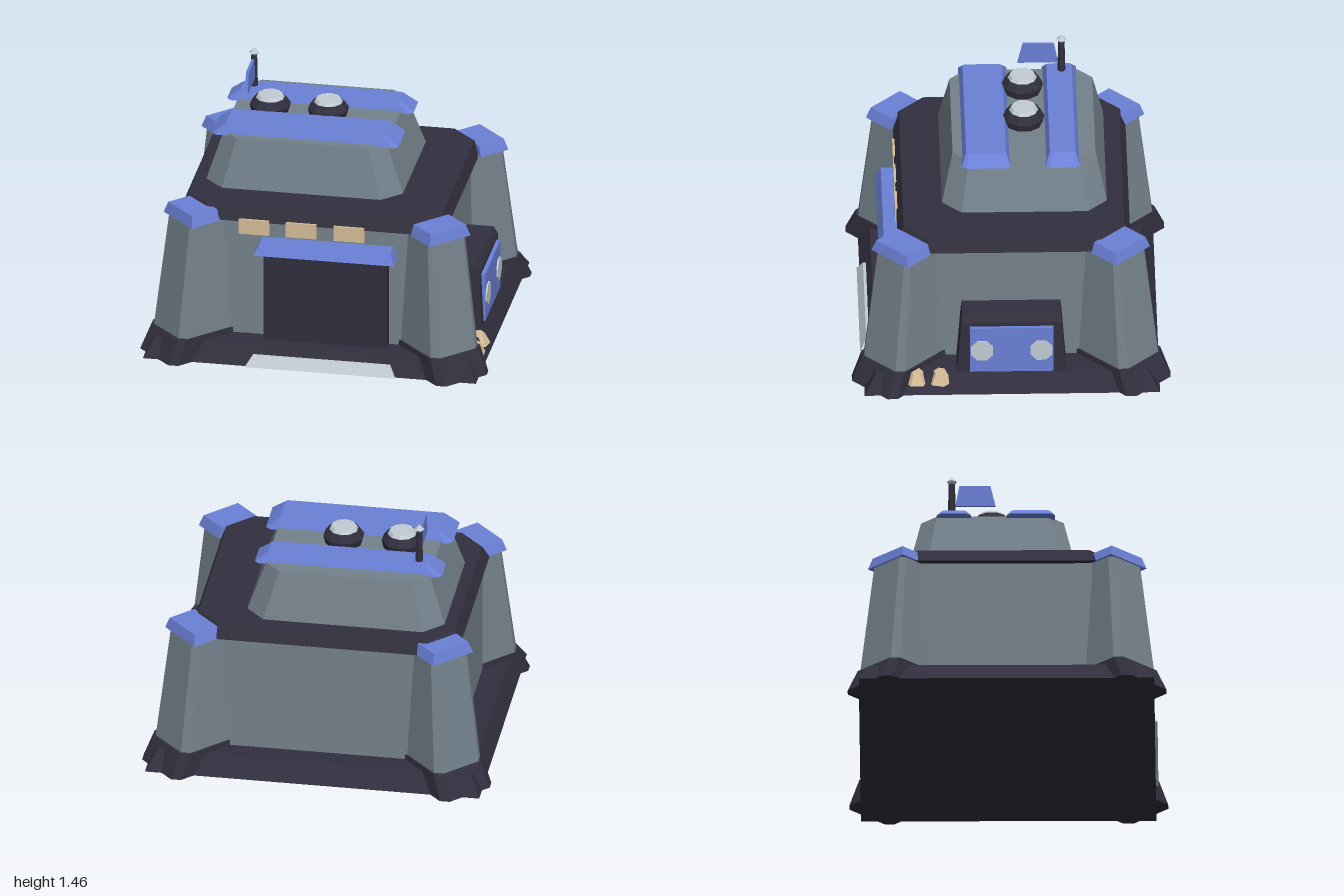
import * as THREE from 'three';

const mat = (name, color) => {
  const m = new THREE.MeshStandardMaterial({ color });
  m.name = name;
  return m;
};

// Closed faceted solid through rings [y, [[x, z], ...]] listed from bottom to top
function loft(rings) {
  const area = rings[0][1].reduce((s, p, i, r) => {
    const q = r[(i + 1) % r.length];
    return s + p[0] * q[1] - q[0] * p[1];
  }, 0);
  const loops = rings.map(([y, pts]) => {
    const loop = pts.map(([x, z]) => [x, y, z]);
    return area > 0 ? loop.reverse() : loop;
  });
  const pos = [];
  const tri = (a, b, c) => pos.push(...a, ...b, ...c);
  const n = loops[0].length;
  for (let k = 0; k + 1 < loops.length; k++) {
    for (let i = 0; i < n; i++) {
      const j = (i + 1) % n, lo = loops[k], hi = loops[k + 1];
      tri(lo[i], lo[j], hi[j]);
      tri(lo[i], hi[j], hi[i]);
    }
  }
  const bot = loops[0], top = loops[loops.length - 1];
  for (let i = 1; i + 1 < n; i++) {
    tri(bot[0], bot[i + 1], bot[i]);
    tri(top[0], top[i], top[i + 1]);
  }
  const g = new THREE.BufferGeometry();
  g.setAttribute('position', new THREE.Float32BufferAttribute(pos, 3));
  g.computeVertexNormals();
  return g;
}

// Rectangle outline, optionally with cut corners
function rect(x0, x1, z0, z1, c = 0) {
  if (!c) return [[x0, z0], [x1, z0], [x1, z1], [x0, z1]];
  return [[x0 + c, z0], [x1 - c, z0], [x1, z0 + c], [x1, z1 - c],
    [x1 - c, z1], [x0 + c, z1], [x0, z1 - c], [x0, z0 + c]];
}

// Outline of a corner pillar set on the diagonal: inner and outer reach, half width, bevel
function diagonal(sx, sz, inner, outer, half, bevel = 0) {
  const mid = 0.067;
  const pts = [[inner, -half], [outer - bevel, -half]];
  if (bevel) pts.push([outer, -half + bevel], [outer, half - bevel]);
  pts.push([outer - bevel, half], [inner, half]);
  return pts.map(([a, b]) => [sx * (a + b + mid) * Math.SQRT1_2, sz * (a - b - mid) * Math.SQRT1_2]);
}

export function createModel() {
  const model = new THREE.Group();
  model.name = 'bunker';
  const dark = mat('dark trim', 0x322f3e);
  const grey = mat('grey wall', 0x74818b);
  const blue = mat('blue panel', 0x6a80d6);
  const light = mat('pale metal', 0xc2ccd4);
  const tan = mat('sand', 0xd6bd98);

  const add = (name, geometry, material, x = 0, y = 0, z = 0) => {
    const m = new THREE.Mesh(geometry.index ? geometry.toNonIndexed() : geometry, material);
    m.geometry.computeVertexNormals();
    m.name = name;
    m.position.set(x, y, z);
    model.add(m);
    return m;
  };

  // Base, walls and roof slab
  add('base', loft([[0, rect(-0.96, 0.96, -0.84, 0.835)], [0.11, rect(-0.9, 0.9, -0.77, 0.77)]]), dark);
  add('walls', loft([[0.1, rect(-0.77, 0.71, -0.65, 0.625)], [0.83, rect(-0.76, 0.7, -0.64, 0.615)]]), grey);
  add('roofSlab', loft([
    [0.81, rect(-0.8, 0.735, -0.68, 0.64, 0.14)],
    [0.89, rect(-0.765, 0.705, -0.645, 0.605, 0.14)],
  ]), dark);

  // Corner pillars with feet and caps
  for (const sx of [-1, 1]) {
    for (const sz of [-1, 1]) {
      add('cornerFoot', loft([
        [0, diagonal(sx, sz, 0.7, 1.205, 0.18, 0.04)],
        [0.14, diagonal(sx, sz, 0.7, 1.135, 0.17, 0.04)],
      ]), dark);
      add('cornerPillar', loft([
        [0.13, diagonal(sx, sz, 0.7, 1.124, 0.162, 0.04)],
        [0.82, diagonal(sx, sz, 0.7, 1.03, 0.127, 0.025)],
      ]), grey);
      add('cornerCap', loft([
        [0.81, diagonal(sx, sz, 0.854, 1.043, 0.141)],
        [0.875, diagonal(sx, sz, 0.854, 1.026, 0.12)],
      ]), blue);
    }
  }

  // Upper tier and its two roof plates
  add('upperTier', loft([
    [0.88, rect(-0.7, 0.44, -0.555, 0.385, 0.11)],
    [1.175, rect(-0.605, 0.335, -0.49, 0.32, 0.09)],
  ]), grey);
  for (const [z0, z1] of [[-0.4, -0.205], [-0.005, 0.27]]) {
    add('roofPlate', loft([
      [1.165, rect(-0.67, 0.405, z0, z1, 0.025)],
      [1.22, rect(-0.595, 0.33, z0 + 0.025, z1 - 0.025, 0.015)],
    ]), blue);
  }

  // Roof vents
  const vent = [[0, 0], [0.105, 0], [0.118, 0.05], [0.09, 0.09], [0, 0.09]].map((p) => new THREE.Vector2(...p));
  for (const x of [-0.395, -0.06]) {
    add('vent', new THREE.LatheGeometry(vent, 10), dark, x, 1.17, -0.09);
    add('ventLid', new THREE.CylinderGeometry(0.07, 0.086, 0.025, 10), light, x, 1.267, -0.09);
  }

  // Antenna with a flat panel
  add('antennaPole', new THREE.CylinderGeometry(0.018, 0.024, 0.25, 6), dark, -0.53, 1.285, -0.315);
  add('antennaTip', new THREE.SphereGeometry(0.03, 6, 2), light, -0.53, 1.425, -0.315);
  add('antennaPanel', loft([
    [1.275, rect(-0.537, -0.52, -0.295, -0.067)],
    [1.4, rect(-0.537, -0.52, -0.272, -0.097)],
  ]), blue);

  // Front door, awning, ramp and lamps
  add('door', new THREE.BoxGeometry(0.71, 0.56, 0.1), dark, 0.065, 0.38, 0.645);
  add('awning', loft([
    [0.65, rect(-0.34, 0.47, 0.6, 0.745)],
    [0.715, rect(-0.31, 0.445, 0.6, 0.715)],
  ]), blue);
  add('ramp', loft([
    [0, rect(-0.37, 0.495, 0.8, 0.85)],
    [0.062, rect(-0.33, 0.46, 0.77, 0.815)],
  ]), light);
  for (const x of [-0.355, -0.083, 0.193]) {
    add('frontLamp', new THREE.BoxGeometry(0.175, 0.09, 0.03), tan, x, 0.78, 0.632);
  }

  // Side service box with panel and round lamps
  add('serviceBox', loft([
    [0.1, rect(0.65, 0.895, -0.31, 0.31)],
    [0.43, rect(0.65, 0.88, -0.285, 0.285)],
    [0.47, rect(0.65, 0.855, -0.28, 0.28)],
  ]), dark);
  add('servicePanel', new THREE.BoxGeometry(0.03, 0.29, 0.475), blue, 0.89, 0.263, 0);
  for (const z of [-0.168, 0.168]) {
    const lamp = new THREE.CylinderGeometry(0.068, 0.068, 0.012, 8).rotateY(Math.PI / 8).rotateZ(-Math.PI / 2);
    add('sideLamp', lamp, light, 0.908, 0.262, z);
  }

  // Rocks beside the base
  for (const z of [0.405, 0.54]) {
    const rock = new THREE.CylinderGeometry(0.035, 0.07, 0.065, 6);
    add('rock', rock, tan, 0.895, 0.088, z).rotation.y = z * 2;
  }
  return model;
}
